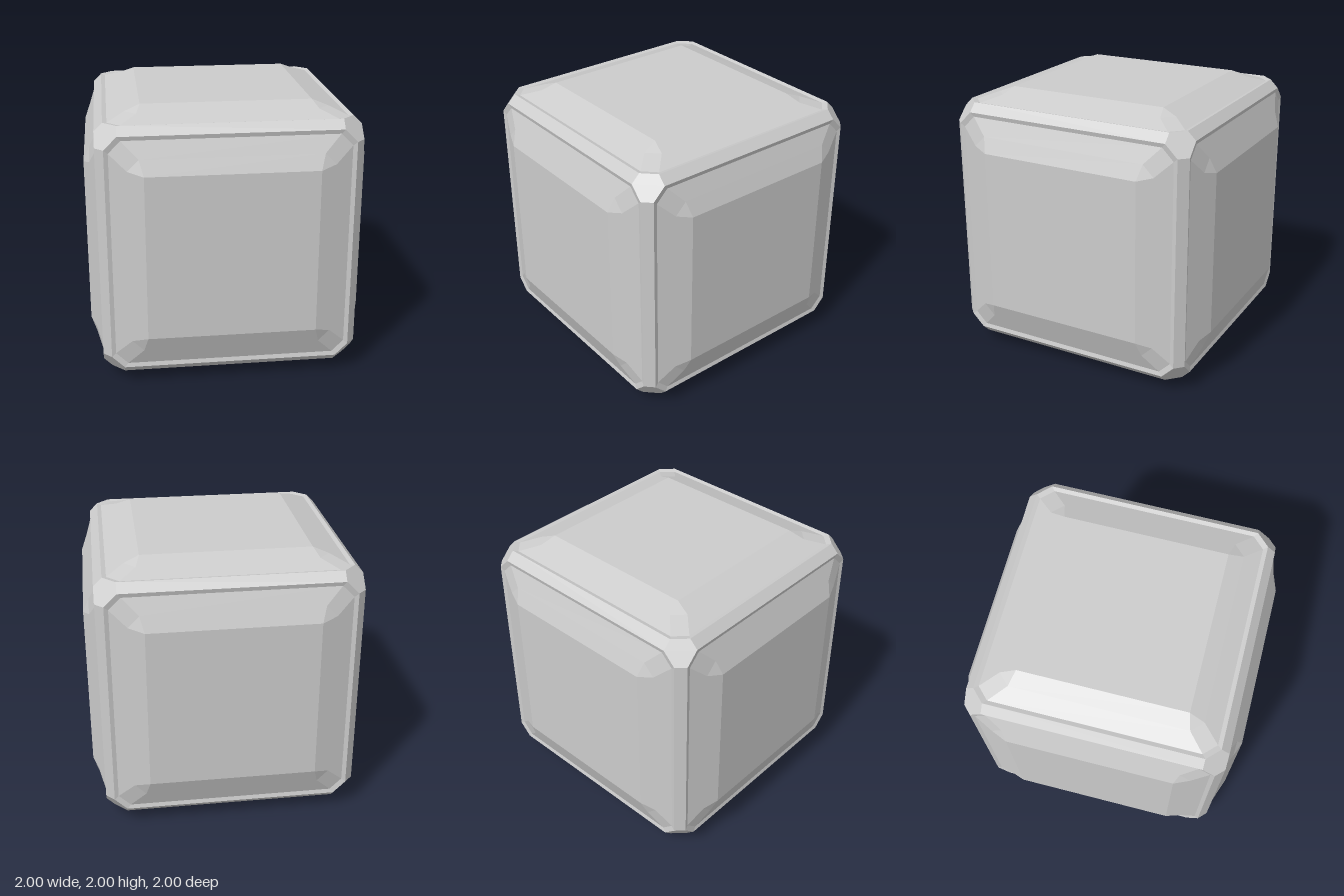
import * as THREE from 'three';

// Rim height, rim half-width and straight-edge half-length of the chamfered frame
const A = 0.92, B = 0.86, C = 0.77;
const SIGNS = [-1, 1];

// Put (u, v, w) on the axes so that w lies along the given axis
function onAxis(axis, u, v, w) {
  const p = [0, 0, 0];
  p[(axis + 1) % 3] = u;
  p[(axis + 2) % 3] = v;
  p[axis] = w;
  return new THREE.Vector3(...p);
}

// Flat convex polygon as a triangle fan, wound to face away from the centre
function addPolygon(out, points) {
  const centre = points.reduce((s, p) => s.add(p), new THREE.Vector3());
  const n = new THREE.Vector3().subVectors(points[1], points[0])
    .cross(new THREE.Vector3().subVectors(points[2], points[0]));
  const pts = n.dot(centre) < 0 ? [...points].reverse() : points;
  for (let i = 1; i < pts.length - 1; i++) {
    for (const p of [pts[0], pts[i], pts[i + 1]]) out.push(p.x, p.y, p.z);
  }
}

function makeMesh(name, positions, material) {
  const geo = new THREE.BufferGeometry();
  geo.setAttribute('position', new THREE.Float32BufferAttribute(positions, 3));
  geo.computeVertexNormals();
  const mesh = new THREE.Mesh(geo, material);
  mesh.name = name;
  return mesh;
}

export function createModel() {
  const group = new THREE.Group();
  group.name = 'bevelledCube';
  const material = new THREE.MeshStandardMaterial({ color: 0xcccccc, flatShading: true });
  const body = new THREE.Group();
  body.name = 'body';
  body.position.y = 1;
  group.add(body);

  // Edge bars: one bevel strip along each of the twelve edges
  const bars = [];
  for (let axis = 0; axis < 3; axis++) {
    for (const s of SIGNS) for (const t of SIGNS) {
      addPolygon(bars, [
        onAxis(axis, s * A, t * B, -C), onAxis(axis, s * B, t * A, -C),
        onAxis(axis, s * B, t * A, C), onAxis(axis, s * A, t * B, C),
      ]);
    }
  }
  body.add(makeMesh('edgeBars', bars, material));

  // Corner caps: hexagons joining three bars
  const corners = [];
  const hexagon = [[A, B, C], [B, A, C], [C, A, B], [C, B, A], [B, C, A], [A, C, B]];
  for (const sx of SIGNS) for (const sy of SIGNS) for (const sz of SIGNS) {
    addPolygon(corners, hexagon.map(([x, y, z]) => new THREE.Vector3(x * sx, y * sy, z * sz)));
  }
  body.add(makeMesh('cornerCaps', corners, material));

  // Face panels: octagonal rings [half-width, side half-length, height],
  // from the rim down a shallow groove and up to the raised square
  const rings = [[B, C, A], [0.83, 0.745, 0.912], [0.71, 0.63, 0.958], [0.6, 0.6, 1]];
  const names = ['side', 'upright', 'frontBack'];
  for (let axis = 0; axis < 3; axis++) {
    for (const s of SIGNS) {
      const panel = [];
      const loops = rings.map(([a, b, h]) =>
        [[a, -b], [a, b], [b, a], [-b, a], [-a, b], [-a, -b], [-b, -a], [b, -a]]
          .map(([u, v]) => onAxis(axis, u, v, s * h)));
      for (let r = 0; r < 3; r++) {
        for (let i = 0; i < 8; i++) {
          const j = (i + 1) % 8;
          const quad = [loops[r][i], loops[r][j], loops[r + 1][j], loops[r + 1][i]];
          // Corner facets end in a point at the raised square
          if (r === 2 && i % 2 === 1) quad.pop();
          addPolygon(panel, quad);
        }
      }
      addPolygon(panel, [1, 3, 5, 7].map((i) => loops[3][i]));
      body.add(makeMesh(names[axis] + 'Panel' + (s > 0 ? 'Positive' : 'Negative'), panel, material));
    }
  }
  return group;
}
